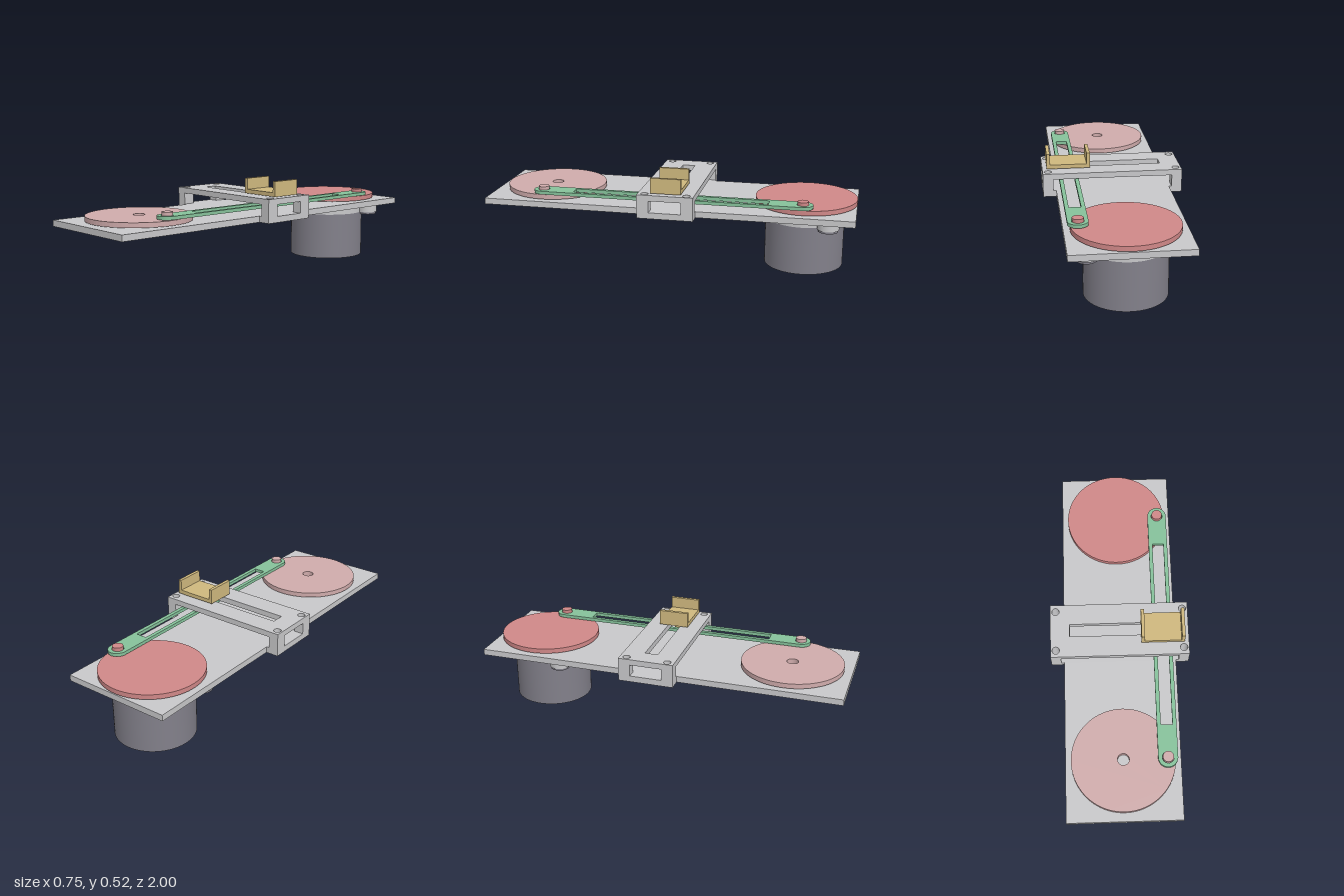
import * as THREE from 'three';

const mat = (name, color) => Object.assign(new THREE.MeshStandardMaterial({ color }), { name });

export function createModel() {
  const grey = mat('light grey metal', 0xc8c8ca);
  const dark = mat('motor grey', 0x82808a);
  const red = mat('red', 0xd08888);
  const pink = mat('pale pink', 0xd0acac);
  const green = mat('green', 0x86c29b);
  const tan = mat('tan', 0xcfb87e);

  const model = new THREE.Group();
  const add = (name, geo, material, x = 0, y = 0, z = 0) => {
    const mesh = new THREE.Mesh(geo, material);
    mesh.name = name;
    mesh.position.set(x, y, z);
    model.add(mesh);
    return mesh;
  };
  // Plan outlines are given as [x, z] and raised from y0 to y1
  const outline = (pts) => pts.map(([x, z]) => new THREE.Vector2(x, -z));
  const rect = (x0, x1, z0, z1) => outline([[x0, z0], [x0, z1], [x1, z1], [x1, z0]]);
  const circle = (x, z, r) => new THREE.Path().absarc(x, -z, r, 0, Math.PI * 2, true);
  const slab = (name, shape, holes, y0, y1, material) => {
    shape.holes.push(...holes);
    const geo = new THREE.ExtrudeGeometry(shape, { depth: y1 - y0, bevelEnabled: false, curveSegments: 40 });
    geo.rotateX(-Math.PI / 2);
    return add(name, geo, material, 0, y0, 0);
  };
  const disc = (name, r, y0, y1, x, z, material, sides = 64) =>
    add(name, new THREE.CylinderGeometry(r, r, y1 - y0, sides), material, x, (y0 + y1) / 2, z);

  // Bridge layout
  const W = 0.375, Z0 = -0.174, Z1 = 0.126, MID = -0.024;
  const corners = [];
  for (const x of [-0.346, 0.346]) for (const z of [-0.136, 0.088]) corners.push([x, z]);
  const boltHoles = () => corners.map(([x, z]) => circle(x, z, 0.02));

  // Base plate with side tabs
  const half = [[0.305, 1], [0.305, Z1], [W, Z1], [W, Z0], [0.305, Z0], [0.305, -1]];
  const plate = [...half, ...half.map(([x, z]) => [-x, z]).reverse()];
  slab('basePlate', new THREE.Shape(outline(plate)), boltHoles(), 0.307, 0.34, grey);

  // Posts and slotted bridge
  for (const [x, z] of corners) {
    const s = Math.sign(x);
    const xs = s > 0 ? [0.32, W] : [-W, -0.32];
    const zs = z < MID ? [Z0, Z0 + 0.064] : [Z1 - 0.064, Z1];
    slab('bridgePost', new THREE.Shape(rect(...xs, ...zs)), [circle(x, z, 0.02)], 0.34, 0.403, grey);
  }
  slab('bridgePlate', new THREE.Shape(rect(-W, W, Z0, Z1)),
    [...boltHoles(), new THREE.Path(rect(-0.27, 0.27, -0.06, 0.01))], 0.403, 0.434, grey);

  // Motor under the rear of the plate
  const MZ = -0.722;
  disc('motorBody', 0.213, 0, 0.26, 0, MZ, dark);
  disc('motorCap', 0.213, 0.26, 0.307, 0, MZ, grey);
  for (const s of [1, -1]) {
    const x = 0.205 * s, z = MZ - 0.137 * s;
    disc('motorEar', 0.057, 0.26, 0.307, x, z, grey, 40);
    const head = new THREE.Shape().absarc(x, -z, 0.051, 0, Math.PI * 2);
    const socket = [];
    for (let i = 0; i < 6; i++) {
      const a = i * Math.PI / 3;
      socket.push([x + 0.026 * Math.cos(a), z + 0.026 * Math.sin(a)]);
    }
    slab('motorScrew', head, [new THREE.Path(outline(socket))], 0.248, 0.26, dark);
  }

  // Wheels, their spacers and crank pins
  const PX = 0.234, REAR = -0.727, FRONT = 0.68;
  disc('rearWheel', 0.273, 0.345, 0.371, 0, REAR, red, 80);
  disc('rearSpacer', 0.12, 0.34, 0.345, 0, REAR, red);
  slab('frontWheel', new THREE.Shape().absarc(0, -FRONT, 0.275, 0, Math.PI * 2),
    [circle(0, FRONT, 0.031)], 0.345, 0.371, pink);
  slab('frontSpacer', new THREE.Shape().absarc(0, -FRONT, 0.12, 0, Math.PI * 2),
    [circle(0, FRONT, 0.031)], 0.34, 0.345, pink);
  disc('rearCrankPin', 0.029, 0.371, 0.411, PX, REAR, red, 32);
  disc('frontCrankPin', 0.029, 0.371, 0.411, PX, FRONT, pink, 32);

  // Slotted connecting link
  const link = new THREE.Shape();
  link.absarc(PX, -REAR, 0.052, 0, Math.PI);
  link.absarc(PX, -FRONT, 0.052, Math.PI, Math.PI * 2);
  link.closePath();
  slab('connectingLink', link, [
    circle(PX, REAR, 0.031), circle(PX, FRONT, 0.031),
    new THREE.Path(rect(PX - 0.031, PX + 0.031, -0.55, 0.505)),
  ], 0.375, 0.393, green);

  // U-shaped slider with its guide stem
  const depth = 0.162;
  add('sliderBase', new THREE.BoxGeometry(0.234, 0.022, depth), tan, PX, 0.45, MID);
  for (const s of [-1, 1])
    add('sliderWall', new THREE.BoxGeometry(0.018, 0.06, depth), tan, PX + s * 0.108, 0.491, MID);
  disc('sliderStem', 0.029, 0.375, 0.439, PX, MID, tan, 32);

  return model;
}
